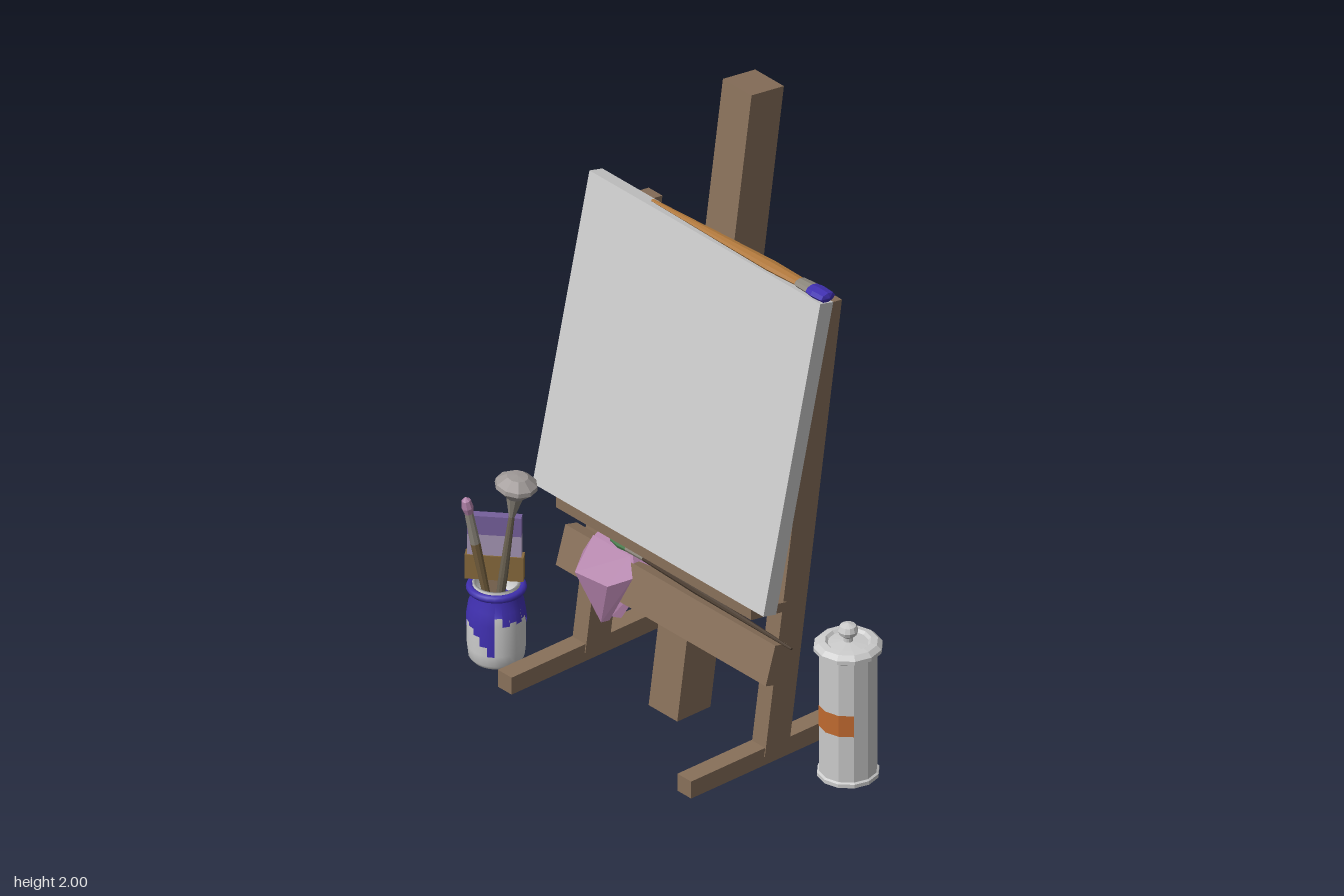
import * as THREE from 'three';
import { ConvexGeometry } from 'three/addons/geometries/ConvexGeometry.js';

const WOOD = 0x88705a, GREY = 0xcccccc, BLUE = 0x4030b0, PINK = 0xb080a8;
const DARK = 0x4a3c30, STEEL = 0x8c867c, HANDLE = 0xb0783c;

function mesh(name, geometry, color, flat = true) {
  const material = new THREE.MeshStandardMaterial({ color, flatShading: flat, side: THREE.DoubleSide });
  const m = new THREE.Mesh(geometry, material);
  m.name = name;
  return m;
}

// Beam with an outline in x/y, running from z0 to z1
function beam(name, outline, z0, z1, color = WOOD) {
  const shape = new THREE.Shape(outline.map(([x, y]) => new THREE.Vector2(x, y)));
  const g = new THREE.ExtrudeGeometry(shape, { depth: z1 - z0, bevelEnabled: false });
  return mesh(name, g.translate(0, 0, z0), color);
}

// Turned part from [radius, height] pairs
function turned(name, profile, color, sides = 8, flat = true) {
  const pts = profile.map(([r, y]) => new THREE.Vector2(r, y));
  return mesh(name, new THREE.LatheGeometry(pts, sides), color, flat);
}

// Stands a group's y axis along the line from a to b
function aim(group, a, b) {
  const from = new THREE.Vector3(...a), dir = new THREE.Vector3(...b).sub(from).normalize();
  group.position.copy(from);
  group.quaternion.setFromUnitVectors(new THREE.Vector3(0, 1, 0), dir);
  return group;
}

// Brush made of turned sections, each [name, colour, profile]
function brush(name, a, b, sections, sides = 8, flatten = 1) {
  const g = new THREE.Group();
  g.name = name;
  for (const [part, color, profile] of sections) g.add(turned(part, profile, color, sides));
  g.scale.z = flatten;
  return aim(g, a, b);
}

function createEasel() {
  const g = new THREE.Group();
  g.name = 'easel';
  g.add(beam('mast', [[-0.077, 0.005], [0.051, 0.005], [0.335, 1.982], [0.21, 2]], -0.1, 0.025));
  for (const z of [0.325, -0.457]) {
    g.add(beam('sideLeg', [[-0.058, 0.04], [0.036, 0.04], [0.24, 1.462], [0.15, 1.475]], z, z + 0.06));
    g.add(beam('foot', [[-0.34, 0.01], [0.31, 0.01], [0.31, 0.067], [-0.34, 0.067]], z - 0.003, z + 0.057));
  }
  g.add(beam('crossbar', [[0.1, 1.05], [0.163, 1.04], [0.173, 1.1], [0.11, 1.11]], -0.4, 0.33));
  // Flared blocks joining the crossbar to the mast
  for (const s of [1, -1]) {
    const flare = new THREE.CylinderGeometry(0.035 * Math.SQRT2, 0.07 * Math.SQRT2, 0.035, 4);
    flare.rotateY(Math.PI / 4).rotateX(s * Math.PI / 2);
    const m = mesh('crossbarFlare', flare, WOOD);
    m.position.set(0.138, 1.075, -0.0375 + s * 0.08);
    m.rotation.z = -0.143;
    g.add(m);
  }
  g.add(beam('canvasLedge', [[-0.115, 0.525], [0.015, 0.503], [0.022, 0.532], [-0.115, 0.56]], -0.46, 0.39));
  g.add(beam('trayBoard', [[-0.09, 0.308], [-0.045, 0.295], [-0.008, 0.418], [-0.053, 0.43]], -0.49, 0.425));
  g.add(beam('canvas', [[-0.115, 0.56], [-0.066, 0.548], [0.155, 1.513], [0.105, 1.526]], -0.563, 0.443, GREY));
  return g;
}

// Cloth folded over the tray board, a pointed flap on each side
function createRag() {
  const g = new THREE.Group();
  g.name = 'rag';
  const flap = (name, pts) => g.add(mesh(name, new ConvexGeometry(pts.map(p => new THREE.Vector3(...p))), PINK));
  flap('frontFlap', [[-0.06, 0.455, -0.2], [-0.06, 0.455, -0.36], [-0.09, 0.41, -0.155], [-0.09, 0.41, -0.37],
    [-0.145, 0.37, -0.345], [-0.13, 0.37, -0.22], [-0.11, 0.22, -0.27], [-0.095, 0.23, -0.25]]);
  flap('backFlap', [[-0.02, 0.455, -0.2], [-0.02, 0.46, -0.36], [-0.01, 0.41, -0.15], [-0.01, 0.41, -0.37],
    [0.012, 0.4, -0.21], [0.012, 0.4, -0.33], [-0.05, 0.22, -0.25], [-0.065, 0.22, -0.275]]);
  flap('fold', [[-0.065, 0.44, -0.18], [-0.065, 0.44, -0.365], [-0.01, 0.44, -0.18], [-0.01, 0.44, -0.365],
    [-0.04, 0.475, -0.21], [-0.04, 0.475, -0.35]]);
  return g;
}

function createCan() {
  const g = new THREE.Group();
  g.name = 'lidCan';
  g.add(turned('canBody', [[0, 0.01], [0.092, 0.01], [0.092, 0.022], [0.086, 0.026], [0.086, 0.42]], GREY, 12));
  g.add(turned('canLid', [[0.086, 0.42], [0.102, 0.43], [0.102, 0.442], [0.088, 0.455], [0.068, 0.458], [0.06, 0.45],
    [0.014, 0.455], [0.014, 0.468], [0.026, 0.478], [0.03, 0.49], [0.024, 0.506], [0, 0.514]], GREY, 12));
  const label = new THREE.CylinderGeometry(0.088, 0.088, 0.07, 3, 1, true, Math.PI * 1.5 + Math.PI / 6 - Math.PI / 3, Math.PI / 2);
  const m = mesh('canLabel', label, 0xc06a30);
  m.position.y = 0.215;
  g.add(m);
  g.position.set(0.097, 0, 0.573);
  return g;
}

function createJar() {
  const g = new THREE.Group();
  g.name = 'paintJar';
  const sides = 24;
  g.add(turned('jarGlass', [[0, 0.01], [0.07, 0.01], [0.082, 0.025], [0.086, 0.06], [0.086, 0.16], [0.08, 0.2],
    [0.07, 0.228], [0.07, 0.265], [0.062, 0.265], [0.062, 0.2], [0, 0.2]], GREY, sides, false));
  const rim = mesh('jarRim', new THREE.TorusGeometry(0.077, 0.012, 8, sides), BLUE, false);
  rim.rotation.x = Math.PI / 2;
  rim.position.y = 0.25;
  g.add(rim);
  const paint = mesh('paintSurface', new THREE.CircleGeometry(0.062, sides), BLUE);
  paint.rotation.x = -Math.PI / 2;
  paint.position.y = 0.205;
  g.add(paint);
  // Paint running down the outside in strips of uneven length
  const ends = [0.16, 0.09, 0.15, 0.19, 0.12, 0.17, 0.06, 0.14];
  for (let i = 0; i < sides; i++) {
    const end = ends[(i * 5 + (i >> 3)) % ends.length];
    const pts = [[0.088, end], [0.088, Math.max(end, 0.16)], [0.082, 0.2], [0.072, 0.228], [0.072, 0.25]]
      .filter(([, y]) => y >= end).map(([r, y]) => new THREE.Vector2(r, y));
    const step = Math.PI * 2 / sides;
    g.add(mesh('paintDrip', new THREE.LatheGeometry(pts, 1, i * step, step), BLUE, false));
  }
  g.position.set(-0.233, 0, -0.587);
  return g;
}

// Wide flat brush standing diagonally in the jar
function createFlatBrush() {
  const g = new THREE.Group();
  g.name = 'flatBrush';
  const slab = (name, w, d, y0, y1, color) => {
    const m = mesh(name, new THREE.BoxGeometry(w, y1 - y0, d), color);
    m.position.y = (y0 + y1) / 2;
    g.add(m);
  };
  slab('handle', 0.04, 0.02, 0.06, 0.27, WOOD);
  slab('ferrule', 0.172, 0.036, 0.272, 0.352, 0x86693c);
  slab('bristles', 0.158, 0.028, 0.352, 0.42, 0xa596b4);
  slab('bristleTips', 0.158, 0.028, 0.42, 0.482, 0x76609c);
  g.position.set(-0.228, 0, -0.6);
  g.rotation.y = -0.85;
  return g;
}

export function createModel() {
  const model = new THREE.Group();
  model.name = 'easelSet';
  model.add(createEasel(), createRag(), createCan(), createJar(), createFlatBrush());

  // Large brush resting on the canvas
  model.add(brush('canvasBrush', [0.13, 1.527, -0.316], [0.13, 1.541, 0.455], [
    ['handle', HANDLE, [[0, 0], [0.006, 0], [0.016, 0.28], [0.024, 0.52], [0.02, 0.64]]],
    ['ferrule', STEEL, [[0.02, 0.64], [0.023, 0.645], [0.026, 0.695]]],
    ['bristles', BLUE, [[0.026, 0.695], [0.03, 0.72], [0.027, 0.765], [0, 0.772]]],
  ], 8, 0.55));

  // Thin brush lying along the tray board
  model.add(brush('trayBrush', [-0.03, 0.43, 0.47], [-0.055, 0.477, -0.295], [
    ['handle', DARK, [[0, 0], [0.004, 0], [0.012, 0.4], [0.01, 0.62]]],
    ['ferrule', STEEL, [[0.01, 0.62], [0.013, 0.69]]],
    ['bristles', 0x4c8050, [[0.013, 0.69], [0.016, 0.72], [0.01, 0.755], [0, 0.767]]],
  ]));

  // Small round brush leaning out of the jar
  model.add(brush('roundBrush', [-0.235, 0.04, -0.575], [-0.325, 0.57, -0.618], [
    ['handle', 0x75603f, [[0, 0], [0.008, 0], [0.015, 0.38]]],
    ['ferrule', STEEL, [[0.015, 0.38], [0.013, 0.485]]],
    ['bristles', PINK, [[0.013, 0.485], [0.018, 0.505], [0.014, 0.53], [0, 0.542]]],
  ]));

  // Mop brush with a wide faceted head
  model.add(brush('mopBrush', [-0.235, 0.04, -0.6], [-0.206, 0.64, -0.525], [
    ['handle', 0x6c6353, [[0, 0], [0.009, 0], [0.014, 0.25], [0.009, 0.46]]],
    ['ferrule', STEEL, [[0.009, 0.46], [0.026, 0.53]]],
    ['bristles', 0xa09a98, [[0.026, 0.53], [0.064, 0.567], [0.062, 0.58], [0.032, 0.602], [0, 0.605]]],
  ], 10));
  return model;
}
